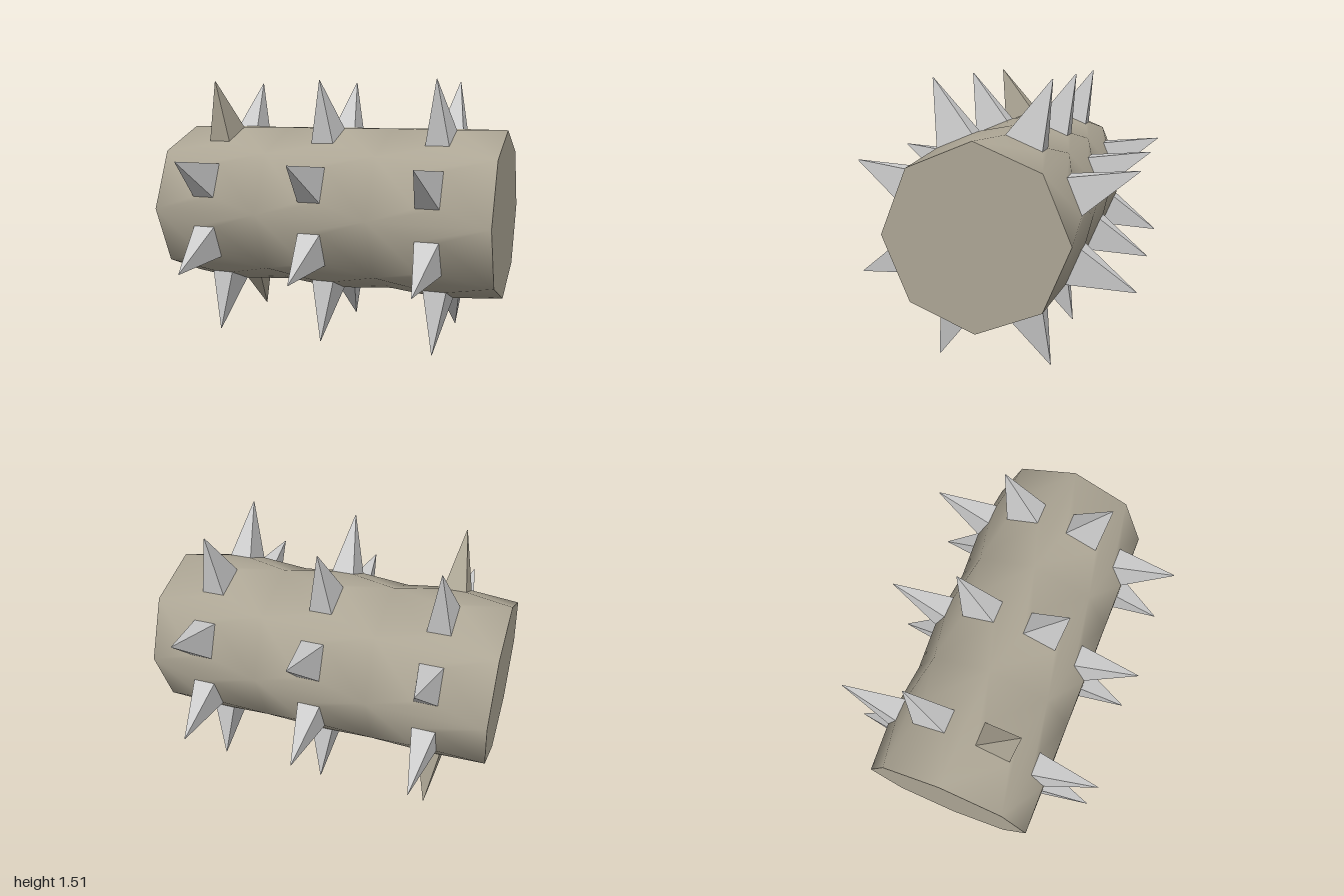
import * as THREE from 'three';

const SIDES = 8, ROWS = 3;
const R = 0.48;            // drum radius at its corners
const PAD_R = 0.477;       // height of the raised pads under the spikes
const PAD_X = 0.066;       // half size of a pad along the axis
const PAD_T = 0.103;       // half size of a pad around the drum
const TIP_R = 0.817;       // distance of spike tips from the axis
const CELL = 2 / ROWS;
const STEP = (Math.PI * 2) / SIDES;

// Octagonal drum wall: every panel swells to a raised pad in its middle
function drumWall() {
  const pos = [], index = [];
  const corner = (j, k) => j * SIDES + (k % SIDES);
  for (let j = 0; j <= ROWS; j++) {
    for (let k = 0; k < SIDES; k++) {
      const a = k * STEP;
      pos.push(-1 + j * CELL, R * Math.sin(a), R * Math.cos(a));
    }
  }
  for (let j = 0; j < ROWS; j++) {
    for (let k = 0; k < SIDES; k++) {
      const a = (k + 0.5) * STEP, s = Math.sin(a), c = Math.cos(a);
      const x = -1 + (j + 0.5) * CELL;
      const first = pos.length / 3;
      for (const [u, v] of [[-1, -1], [1, -1], [1, 1], [-1, 1]]) {
        const t = v * PAD_T;
        pos.push(x + u * PAD_X, PAD_R * s + t * c, PAD_R * c - t * s);
      }
      const outer = [corner(j, k), corner(j + 1, k), corner(j + 1, k + 1), corner(j, k + 1)];
      for (let i = 0; i < 4; i++) {
        const n = (i + 1) % 4;
        index.push(outer[i], outer[n], first + n, outer[i], first + n, first + i);
      }
    }
  }
  const geo = new THREE.BufferGeometry();
  geo.setAttribute('position', new THREE.Float32BufferAttribute(pos, 3));
  geo.setIndex(index);
  geo.computeVertexNormals();
  return geo;
}

// Four-sided spike standing on y = 0
function spikeGeometry() {
  const h = TIP_R - PAD_R;
  const geo = new THREE.CylinderGeometry(0.03, Math.SQRT2, h, 4);
  geo.rotateY(Math.PI / 4);
  geo.scale(PAD_X, 1, PAD_T);
  geo.translate(0, h / 2, 0);
  return geo;
}

export function createModel() {
  const model = new THREE.Group();
  model.name = 'spikedRoller';
  const roller = new THREE.Group();
  roller.name = 'roller';
  roller.position.y = TIP_R * Math.sin(1.5 * STEP);
  model.add(roller);

  const drumMat = new THREE.MeshStandardMaterial({ color: 0xaca594 });
  const dullMat = new THREE.MeshStandardMaterial({ color: 0xaca594, flatShading: true });
  const spikeMat = new THREE.MeshStandardMaterial({ color: 0xcccccc, flatShading: true });

  const wall = new THREE.Mesh(drumWall(), drumMat);
  wall.name = 'drumWall';
  roller.add(wall);

  // End caps
  for (const side of [-1, 1]) {
    const cap = new THREE.Mesh(new THREE.CircleGeometry(R, SIDES), drumMat);
    cap.name = side > 0 ? 'leftEndCap' : 'rightEndCap';
    cap.rotation.y = side * Math.PI / 2;
    cap.position.x = side;
    roller.add(cap);
  }

  // Spikes, one on every pad; two in the first row share the drum's colour
  const geo = spikeGeometry();
  for (let j = 0; j < ROWS; j++) {
    for (let k = 0; k < SIDES; k++) {
      const a = (k + 0.5) * STEP;
      const dull = j === 0 && (k === 1 || k === 5);
      const spike = new THREE.Mesh(geo, dull ? dullMat : spikeMat);
      spike.name = 'spike';
      spike.position.set(-1 + (j + 0.5) * CELL, PAD_R * Math.sin(a), PAD_R * Math.cos(a));
      spike.rotation.x = Math.PI / 2 - a;
      roller.add(spike);
    }
  }
  return model;
}
